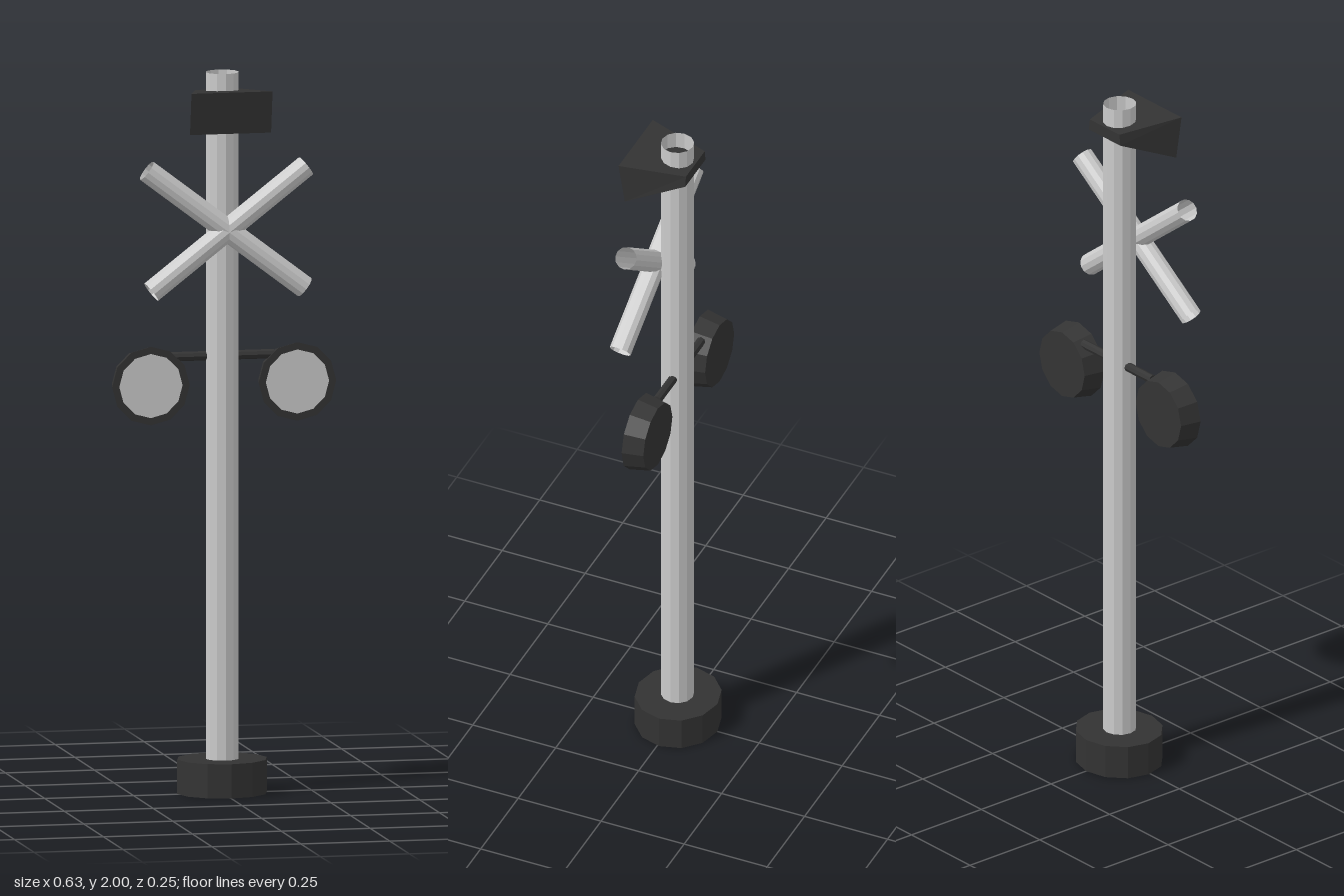
import * as THREE from 'three';

export function createModel() {
  const model = new THREE.Group();
  const grey = new THREE.MeshStandardMaterial({ color: 0xcccccc, flatShading: true, side: THREE.DoubleSide });
  const dark = new THREE.MeshStandardMaterial({ color: 0x333333, flatShading: true, side: THREE.DoubleSide });
  const axisZ = -0.004;

  function add(name, geometry, material, parent = model) {
    const mesh = new THREE.Mesh(geometry, material);
    mesh.name = name;
    parent.add(mesh);
    return mesh;
  }

  // Open tube between two points
  function tube(name, from, to, radius, sides, material, open = true) {
    const a = new THREE.Vector3(...from), b = new THREE.Vector3(...to);
    const mesh = add(name, new THREE.CylinderGeometry(radius, radius, a.distanceTo(b), sides, 1, open), material);
    mesh.position.copy(a).add(b).multiplyScalar(0.5);
    mesh.quaternion.setFromUnitVectors(new THREE.Vector3(0, 1, 0), b.sub(a).normalize());
    return mesh;
  }

  // Hollow foot, open underneath
  const foot = [[0.126, 0], [0.126, 0.095], [0, 0.095]].map(p => new THREE.Vector2(...p));
  const base = add('base', new THREE.LatheGeometry(foot, 12), dark);
  base.scale.z = 0.94;
  base.position.z = -0.006;

  tube('pole', [0, 0.09, axisZ], [0, 2, axisZ], 0.046, 12, grey);

  // Crossed bars, leaning forward at the bottom
  for (const s of [-1, 1]) {
    tube('crossBar', [s * 0.224, 1.74, 0.05], [-s * 0.216, 1.406, 0.071], 0.031, 12, grey);
  }

  // Lamps on a horizontal arm
  tube('lampArm', [-0.147, 1.213, -0.009], [0.147, 1.213, -0.009], 0.013, 8, dark, false);
  const shell = [[0, -0.038], [0.097, -0.038], [0.109, 0.022], [0.089, 0.022]].map(p => new THREE.Vector2(...p));
  for (const s of [-1, 1]) {
    const lamp = new THREE.Group();
    lamp.name = 'lamp';
    lamp.position.set(s * 0.206, 1.138, 0);
    add('lampHousing', new THREE.LatheGeometry(shell, 12), dark, lamp).rotation.x = Math.PI / 2;
    add('lampLens', new THREE.CircleGeometry(0.09, 12), grey, lamp).position.z = 0.021;
    model.add(lamp);
  }

  // Horn box flaring towards the front
  const horn = new THREE.BoxGeometry(2, 2, 2);
  const pos = horn.attributes.position;
  for (let i = 0; i < pos.count; i++) {
    const x = pos.getX(i), top = pos.getY(i) > 0, front = pos.getZ(i) > 0;
    if (front) pos.setXYZ(i, x * 0.114, top ? 1.96 : 1.843, top ? 0.122 : 0.103);
    else pos.setXYZ(i, x * (top ? 0.063 : 0.067), top ? 1.944 : 1.912, -0.058);
  }
  horn.computeVertexNormals();
  add('horn', horn, dark);

  return model;
}
